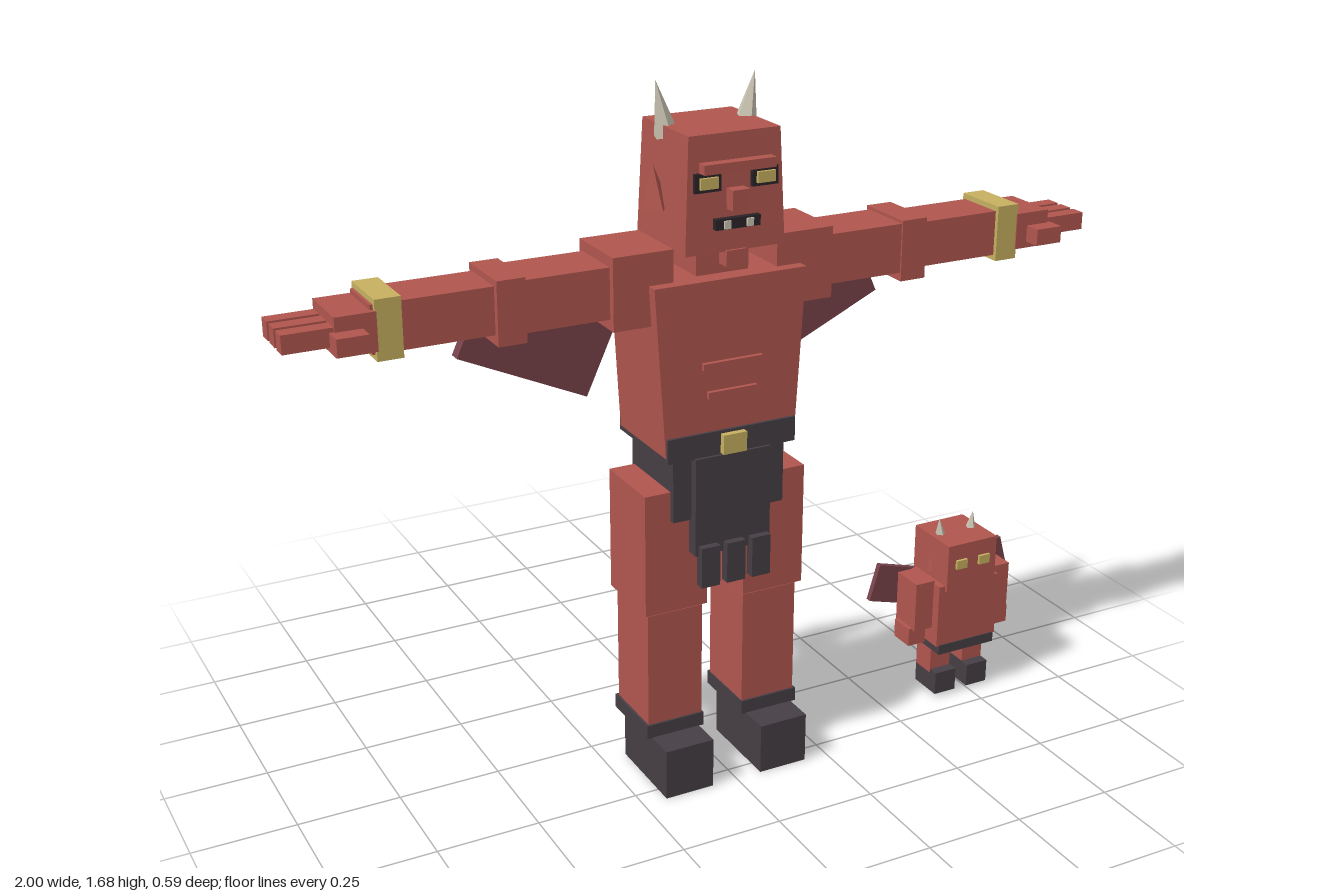
import * as THREE from 'three';

const material = (name, color) => {
  const m = new THREE.MeshStandardMaterial({ color });
  m.name = name;
  return m;
};

export function createModel() {
  const red = material('red skin', 0xb0564e);
  const dark = material('dark cloth', 0x463f45);
  const wingMat = material('wing maroon', 0x78434b);
  const gold = material('gold', 0xc6b060);
  const bone = material('bone', 0xcbc4b2);
  const black = material('black', 0x2a2428);

  const model = new THREE.Group();
  model.name = 'hornedFigures';
  const figure = new THREE.Group();
  figure.name = 'largeFigure';
  const small = new THREE.Group();
  small.name = 'smallFigure';
  small.position.x = 0.725;
  model.add(figure, small);

  const add = (parent, name, geometry, mat, x, y, z) => {
    const mesh = new THREE.Mesh(geometry, mat);
    mesh.name = name;
    mesh.position.set(x, y, z);
    parent.add(mesh);
    return mesh;
  };
  // Box given by its limits on each axis
  const box = (parent, name, mat, [x0, x1], [y0, y1], [z0, z1]) =>
    add(parent, name, new THREE.BoxGeometry(x1 - x0, y1 - y0, z1 - z0), mat,
      (x0 + x1) / 2, (y0 + y1) / 2, (z0 + z1) / 2);
  // The same box on both sides of the body
  const pair = (parent, name, mat, [x0, x1], ys, zs) => {
    box(parent, name + 'Left', mat, [x0, x1], ys, zs);
    box(parent, name + 'Right', mat, [-x1, -x0], ys, zs);
  };
  // Scale the lower corners of a box
  const taper = (mesh, sx, sz) => {
    const p = mesh.geometry.attributes.position;
    for (let i = 0; i < p.count; i++) {
      if (p.getY(i) < 0) p.setXYZ(i, p.getX(i) * sx, p.getY(i), p.getZ(i) * sz);
    }
    mesh.geometry.computeVertexNormals();
  };
  // Pointed cone with flat sides
  const cone = (parent, name, mat, r, h, sides, x, y, z, tilt) => {
    const g = new THREE.ConeGeometry(r, h, sides).toNonIndexed();
    g.computeVertexNormals();
    add(parent, name, g, mat, x, y, z).rotation.z = tilt;
  };

  // Torso, belt and loincloth
  taper(box(figure, 'torso', red, [-0.19, 0.19], [0.85, 1.25], [0.018, 0.245]), 0.87, 1.03);
  box(figure, 'belt', dark, [-0.164, 0.164], [0.838, 0.897], [0.008, 0.255]);
  box(figure, 'buckle', gold, [-0.03, 0.03], [0.843, 0.89], [0.25, 0.27]);
  box(figure, 'hips', dark, [-0.143, 0.143], [0.685, 0.84], [0.03, 0.24]);
  box(figure, 'loincloth', dark, [-0.097, 0.097], [0.6, 0.84], [0.228, 0.262]);
  for (const x of [-0.066, 0, 0.066]) {
    box(figure, 'loinclothStrip', dark, [x - 0.024, x + 0.024], [0.525, 0.625], [0.255, 0.28]);
  }
  box(figure, 'upperAbRidge', red, [-0.075, 0.075], [1.047, 1.063], [0.24, 0.258]);
  box(figure, 'lowerAbRidge', red, [-0.062, 0.062], [0.978, 0.994], [0.24, 0.258]);

  // Legs and boots
  pair(figure, 'thigh', red, [0.048, 0.208], [0.455, 0.757], [0.04, 0.227]);
  pair(figure, 'shin', red, [0.055, 0.197], [0.155, 0.447], [0.052, 0.215]);
  pair(figure, 'bootCuff', dark, [0.052, 0.203], [0.125, 0.16], [0.045, 0.22]);
  pair(figure, 'boot', dark, [0.065, 0.19], [0, 0.126], [0.07, 0.295]);

  // Arms and hands
  pair(figure, 'shoulder', red, [0.13, 0.275], [1.157, 1.325], [0.045, 0.217]);
  pair(figure, 'upperArm', red, [0.25, 0.5], [1.182, 1.3], [0.06, 0.2]);
  pair(figure, 'elbow', red, [0.472, 0.538], [1.162, 1.308], [0.05, 0.205]);
  pair(figure, 'forearm', red, [0.5, 0.81], [1.185, 1.293], [0.065, 0.19]);
  pair(figure, 'bracelet', gold, [0.745, 0.803], [1.172, 1.306], [0.056, 0.2]);
  pair(figure, 'palm', red, [0.8, 0.89], [1.195, 1.282], [0.06, 0.203]);
  pair(figure, 'thumb', red, [0.83, 0.9], [1.21, 1.25], [0.195, 0.245]);
  for (const z of [0.082, 0.131, 0.18]) {
    pair(figure, 'finger', red, [0.87, 1], [1.218, 1.26], [z - 0.018, z + 0.018]);
  }

  // Head and face
  box(figure, 'neck', red, [-0.066, 0.066], [1.24, 1.33], [0.075, 0.2]);
  taper(box(figure, 'head', red, [-0.112, 0.112], [1.317, 1.578], [0.033, 0.252]), 1.1, 1.07);
  box(figure, 'beard', red, [-0.025, 0.025], [1.283, 1.32], [0.23, 0.266]);
  box(figure, 'brow', red, [-0.088, 0.088], [1.497, 1.519], [0.24, 0.28]);
  pair(figure, 'eyeSocket', black, [0.038, 0.102], [1.455, 1.497], [0.24, 0.264]);
  pair(figure, 'eye', gold, [0.048, 0.092], [1.463, 1.488], [0.262, 0.271]);
  box(figure, 'nose', red, [-0.021, 0.021], [1.412, 1.458], [0.24, 0.285]);
  box(figure, 'mouth', black, [-0.055, 0.055], [1.37, 1.394], [0.24, 0.272]);
  pair(figure, 'tooth', bone, [0.02, 0.036], [1.372, 1.39], [0.27, 0.277]);

  for (const s of [-1, 1]) {
    // Horns, ears and wings
    cone(figure, 'horn', bone, 0.029, 0.125, 5, s * 0.11, 1.614, 0.118, -s * 0.2);
    cone(figure, 'ear', red, 0.034, 0.1, 4, s * 0.132, 1.447, 0.13, -s * 0.08);
    add(figure, 'wing', new THREE.BoxGeometry(0.347, 0.215, 0.03), wingMat,
      s * 0.348, 1.092, -0.034).rotation.z = s * 0.43;
    cone(small, 'smallHorn', bone, 0.014, 0.05, 5, s * 0.049, 0.457, 0.13, -s * 0.1);
    cone(small, 'smallEar', red, 0.018, 0.06, 4, s * 0.068, 0.372, 0.13, -s * 0.08);
    add(small, 'smallWing', new THREE.BoxGeometry(0.16, 0.1, 0.015), wingMat,
      s * 0.125, 0.285, 0.066).rotation.z = s * 0.28;
  }

  // Tail: [centre y, centre z, width, thickness, length, angle]
  const tail = [
    [0.67, -0.012, 0.04, 0.036, 0.11, 0.32],
    [0.605, -0.108, 0.034, 0.033, 0.108, 0.48],
    [0.522, -0.2, 0.026, 0.024, 0.096, 0.75],
    [0.458, -0.248, 0.06, 0.06, 0.06, Math.PI / 4],
  ];
  tail.forEach(([y, z, w, t, l, a], i) => {
    add(figure, i < 3 ? 'tailSegment' : 'tailTip', new THREE.BoxGeometry(w, t, l),
      i < 3 ? red : bone, 0, y, z).rotation.x = a;
  });

  // Small figure
  box(small, 'smallHead', red, [-0.073, 0.073], [0.31, 0.438], [0.058, 0.208]);
  pair(small, 'smallEye', gold, [0.018, 0.05], [0.372, 0.396], [0.206, 0.215]);
  box(small, 'smallBody', red, [-0.09, 0.09], [0.155, 0.325], [0.07, 0.2]);
  box(small, 'smallBelt', dark, [-0.084, 0.084], [0.132, 0.158], [0.068, 0.203]);
  pair(small, 'smallArm', red, [0.088, 0.143], [0.2, 0.333], [0.09, 0.175]);
  pair(small, 'smallHand', red, [0.103, 0.153], [0.157, 0.205], [0.1, 0.165]);
  pair(small, 'smallLeg', red, [0.02, 0.08], [0.06, 0.14], [0.1, 0.163]);
  pair(small, 'smallBoot', dark, [0.018, 0.08], [0.01, 0.07], [0.1, 0.19]);
  box(small, 'smallTail', red, [-0.011, 0.011], [0.18, 0.205], [-0.003, 0.08]);
  add(small, 'smallTailTip', new THREE.BoxGeometry(0.036, 0.036, 0.036), red,
    0, 0.166, -0.013).rotation.x = Math.PI / 4;

  return model;
}
